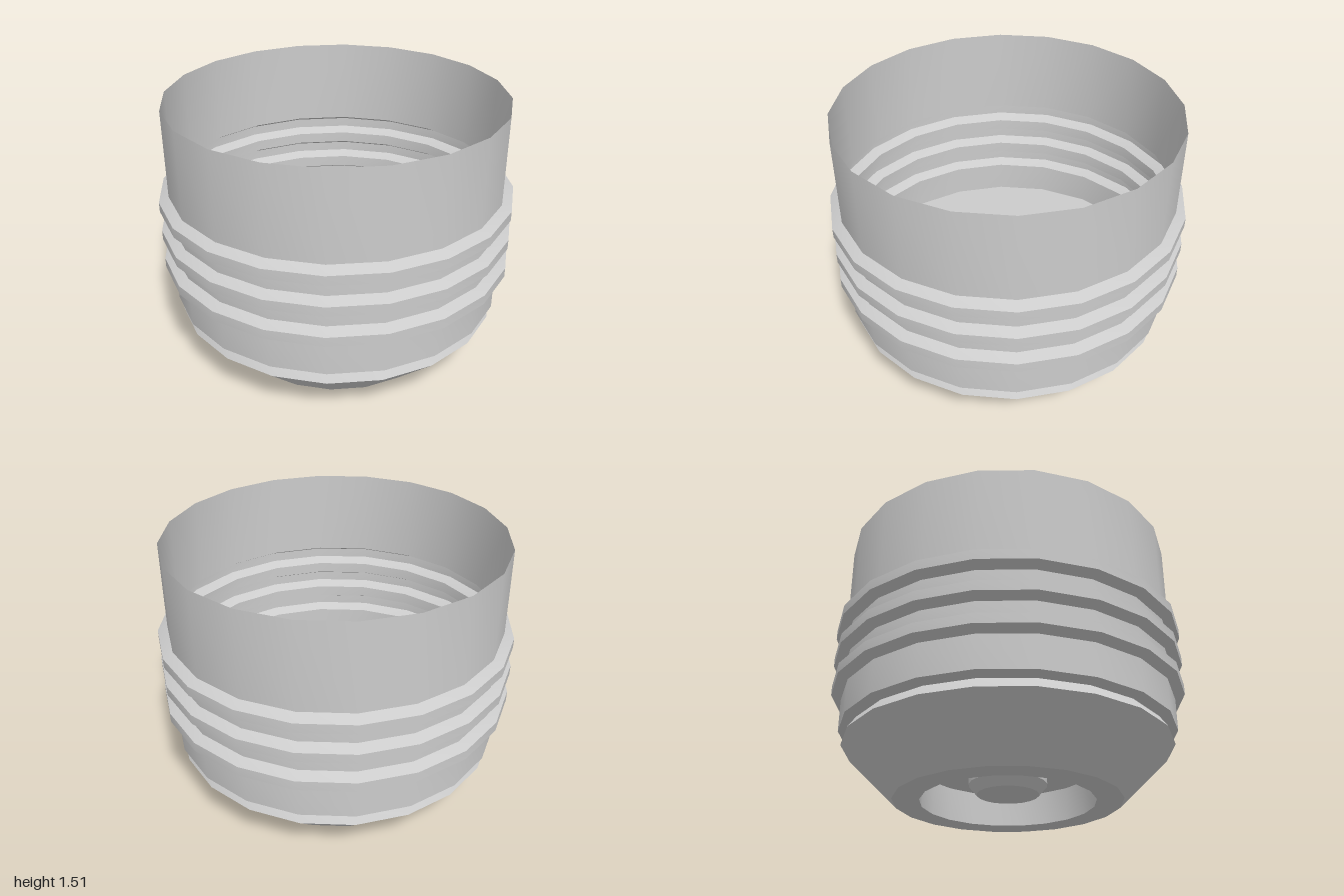
import * as THREE from 'three';
import { toCreasedNormals } from 'three/addons/utils/BufferGeometryUtils.js';

const SIDES = 20;
const material = new THREE.MeshStandardMaterial({ color: 0xcccccc, side: THREE.DoubleSide });

// Turn a [radius, height] profile, listed from the bottom centre outwards and up
function turned(name, profile) {
  const points = profile.map(([r, y]) => new THREE.Vector2(r, y));
  const geometry = toCreasedNormals(new THREE.LatheGeometry(points, SIDES), 0.5);
  const mesh = new THREE.Mesh(geometry, material);
  mesh.name = name;
  return mesh;
}

export function createModel() {
  const model = new THREE.Group();
  model.name = 'screwBase';

  // Thin open sleeve with a floor and three pressed ridges
  const wall = 0.945;
  const sleeve = [[0, 0.364], [wall, 0.364]];
  for (const y of [0.549, 0.727, 0.902]) {
    sleeve.push([wall, y], [1, y + 0.028], [1, y + 0.083], [wall, y + 0.112]);
  }
  sleeve.push([wall, 1.51]);
  model.add(turned('ridgedSleeve', sleeve));

  // Tapered insulator with a round recess underneath
  model.add(turned('taperedBase', [
    [0, 0.19], [0.484, 0.19], [0.484, 0], [0.632, 0],
    [0.925, 0.286], [0.882, 0.348], [0, 0.348],
  ]));

  // Chamfered contact in the recess
  model.add(turned('contactPin', [
    [0, 0.046], [0.172, 0.046], [0.218, 0.1], [0.218, 0.19],
  ]));

  return model;
}
